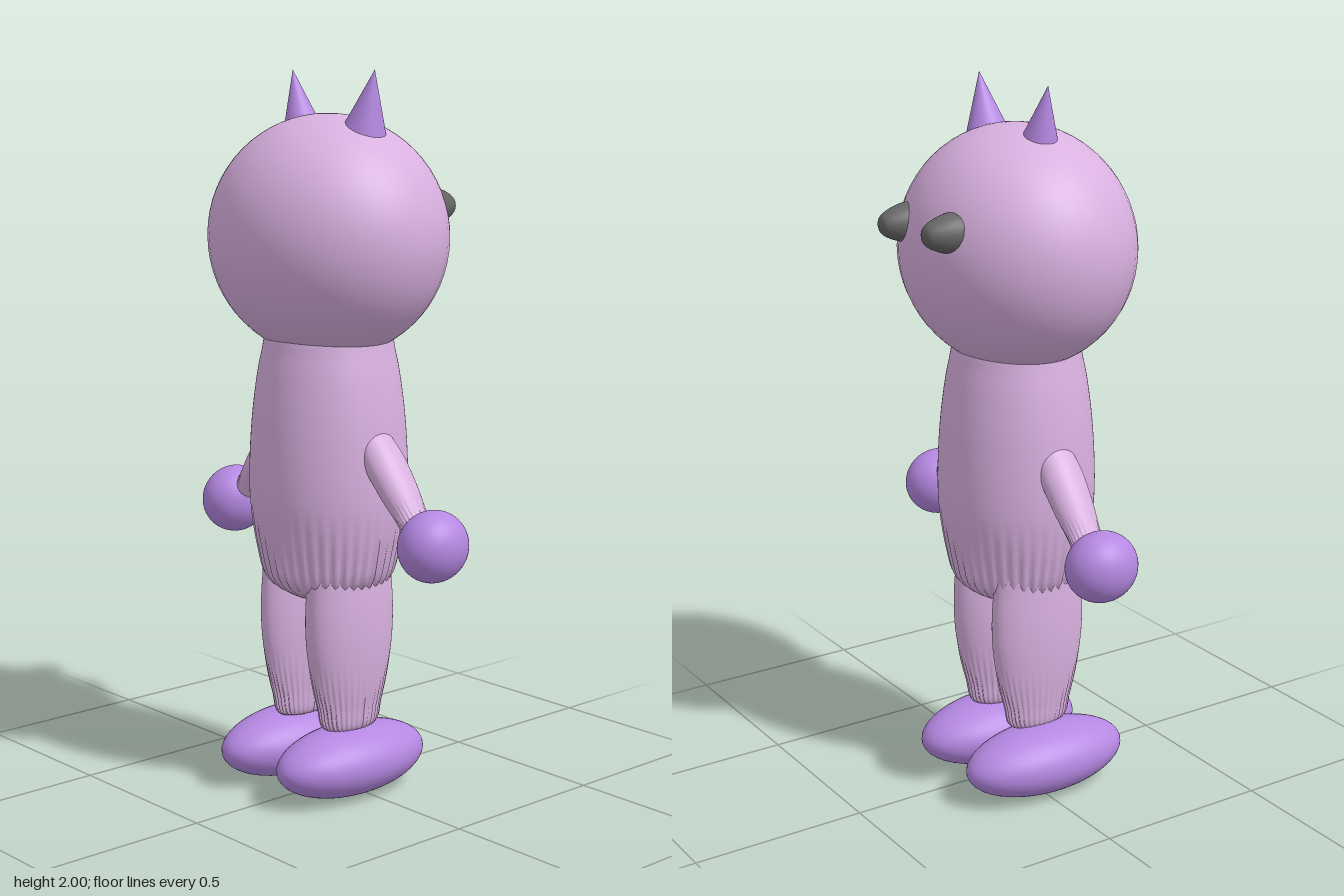
import * as THREE from 'three';

const skin = new THREE.MeshStandardMaterial({ color: 0xd9b1e0 });
const purple = new THREE.MeshStandardMaterial({ color: 0xb588e2 });
const dark = new THREE.MeshStandardMaterial({ color: 0x666666 });
const CX = -0.022; // shared centre line in x

// Smooth lathe from a few [radius, height] points, listed bottom to top.
// ribs: fine vertical flutes that fade out between ribLow and ribHigh.
function turned(profile, { ribs = 0, depth = 0, ribLow = 0, ribHigh = 1 } = {}) {
  const curve = new THREE.SplineCurve(profile.map(([r, y]) => new THREE.Vector2(r, y)));
  const points = curve.getPoints(40).map(p => new THREE.Vector2(Math.max(p.x, 0), p.y));
  const geometry = new THREE.LatheGeometry(points, ribs ? ribs * 4 : 40);
  if (ribs) {
    const pos = geometry.attributes.position;
    for (let i = 0; i < pos.count; i++) {
      const x = pos.getX(i), y = pos.getY(i), z = pos.getZ(i);
      const fade = 1 - THREE.MathUtils.smoothstep(y, ribLow, ribHigh);
      const k = 1 - depth * fade * (0.5 - 0.5 * Math.cos(ribs * Math.atan2(x, z)));
      pos.setXYZ(i, x * k, y, z * k);
    }
    geometry.computeVertexNormals();
  }
  return geometry;
}

export function createModel() {
  const model = new THREE.Group();

  function add(name, geometry, material, position, scale = [1, 1, 1]) {
    const mesh = new THREE.Mesh(geometry, material);
    mesh.name = name;
    mesh.position.set(...position);
    mesh.scale.set(...scale);
    model.add(mesh);
    return mesh;
  }

  const ball = new THREE.SphereGeometry(1, 48, 32);

  // Head and torso
  add('head', ball, skin, [CX, 1.555, -0.004], [0.313, 0.331, 0.35]);
  add('torso', turned([
    [0, 0.53], [0.1, 0.56], [0.172, 0.61], [0.197, 0.69], [0.214, 0.8], [0.218, 0.9],
    [0.213, 1.02], [0.202, 1.13], [0.183, 1.24], [0.15, 1.33], [0, 1.37],
  ], { ribs: 40, depth: 0.06, ribLow: 0.58, ribHigh: 0.86 }), skin, [CX, 0, -0.002], [1, 1, 1.02]);

  // Eyes: blunt cones pointing forward
  const eye = turned([[0, 0], [0.05, 0.005], [0.054, 0.04], [0.045, 0.08], [0.026, 0.117], [0, 0.127]]);
  for (const [name, y, z] of [['rightEye', 1.63, 0.114], ['leftEye', 1.64, -0.108]]) {
    add(name, eye, dark, [0.206, y, z]).rotation.z = -Math.PI / 2;
  }

  // Horns: cones leaning outward
  for (const [name, z, side, r] of [['rightHorn', 0.137, 1, 0.064], ['leftHorn', -0.105, -1, 0.058]]) {
    const horn = new THREE.ConeGeometry(r, 0.178, 40).translate(0, 0.089, 0);
    add(name, horn, purple, [CX, 1.828, z]).rotation.x = side * 0.25;
  }

  // Arms and hands
  const arm = turned([
    [0, 0], [0.032, 0.02], [0.038, 0.09], [0.045, 0.17], [0.047, 0.26], [0.035, 0.34], [0, 0.38],
  ], { ribs: 24, depth: 0.08, ribLow: 0.04, ribHigh: 0.14 });
  for (const [name, side] of [['right', 1], ['left', -1]]) {
    add(name + 'Arm', arm, skin, [CX, 0.765, side * 0.383], [1.3, 1, 1]).rotation.x = -side * 0.68;
    add(name + 'Hand', ball, purple, [CX, 0.764, side * 0.413], [0.103, 0.097, 0.087]);
  }

  // Legs and feet
  const leg = turned([
    [0, 0.185], [0.6, 0.195], [0.75, 0.26], [0.9, 0.35], [1, 0.47], [0.97, 0.6], [0.8, 0.74], [0, 0.82],
  ], { ribs: 36, depth: 0.07, ribLow: 0.2, ribHigh: 0.42 });
  const sides = [
    ['right', 0.085, 0.083, 0.092, 0.13],
    ['left', -0.111, 0.069, -0.151, 0.126],
  ];
  for (const [name, legZ, legR, footZ, footR] of sides) {
    add(name + 'Leg', leg, skin, [CX, 0, legZ], [0.145, 1, legR]);
    add(name + 'Foot', ball, purple, [CX, 0.099, footZ], [0.252, 0.099, footR]);
  }

  return model;
}
